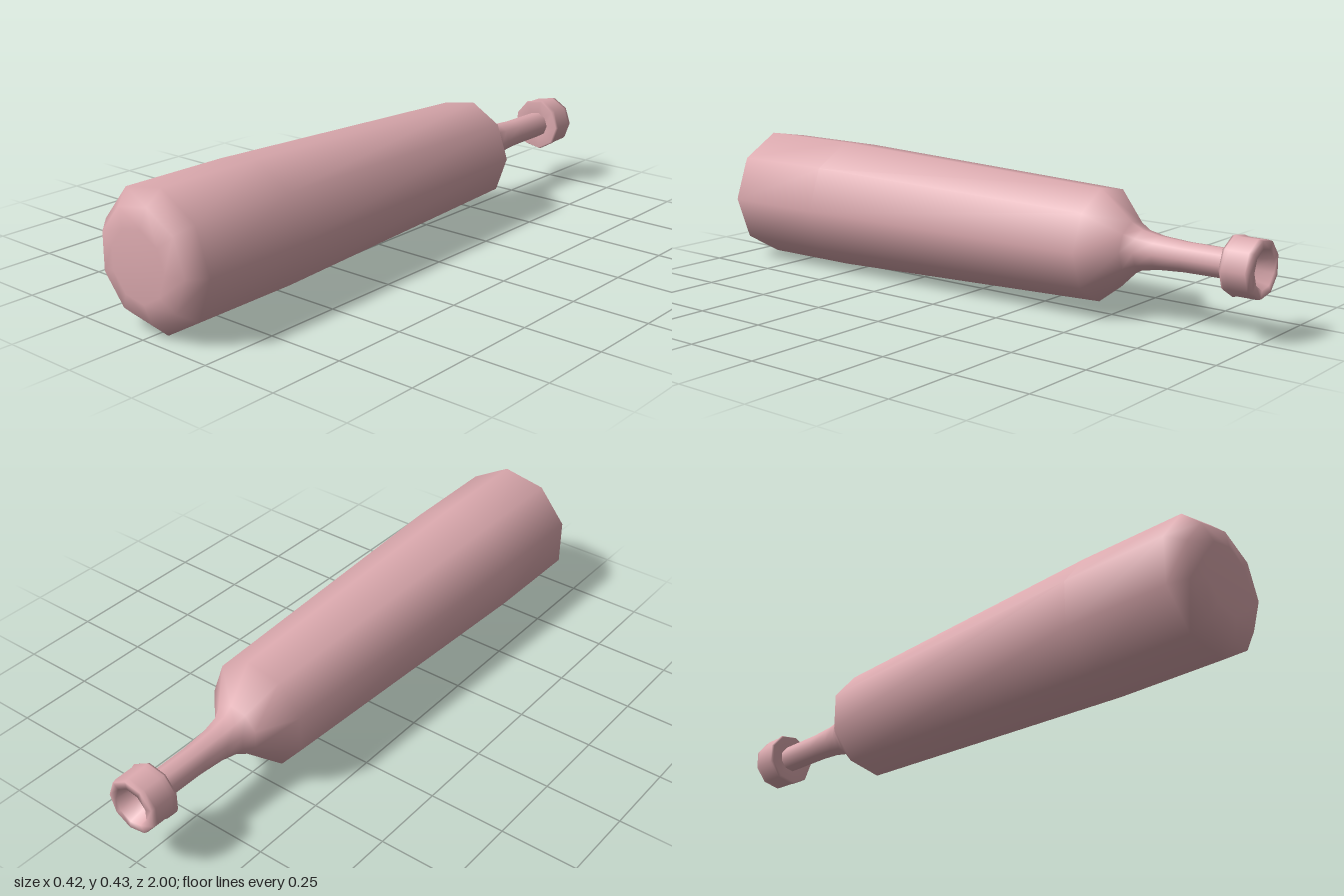
import * as THREE from 'three';

const SIDES = 9;

// Revolves [radius, z] pairs, listed front to back, around the z axis.
function turned(name, profile, material) {
  const points = profile.map(([r, z]) => new THREE.Vector2(r, -z));
  const geometry = new THREE.LatheGeometry(points, SIDES, Math.PI / 2);
  geometry.rotateX(-Math.PI / 2);
  const mesh = new THREE.Mesh(geometry, material);
  mesh.name = name;
  return mesh;
}

export function createModel() {
  const group = new THREE.Group();
  group.name = 'bottle';
  const pink = new THREE.MeshStandardMaterial({ color: 0xdba9ae });
  pink.name = 'dusty pink';

  // Closed base, tapering body, shoulder and slim neck
  group.add(turned('bodyAndNeck', [
    [0, 1], [0.11, 1], [0.172, 0.984], [0.2185, 0.935], [0.217, 0.58],
    [0.177, -0.47], [0.083, -0.57], [0.063, -0.605], [0.052, -0.66],
    [0.046, -0.75], [0.045, -0.91],
  ], pink));

  // Collar round the mouth, with a shallow hollow at the back
  group.add(turned('mouthCollar', [
    [0.044, -0.907], [0.087, -0.903], [0.092, -0.912], [0.088, -0.925],
    [0.088, -0.985], [0.085, -1], [0.06, -1], [0.045, -0.94], [0, -0.93],
  ], pink));

  // Centre the nine-sided section and rest it on the ground
  group.children.forEach((part) => part.position.set(-0.0065, 0.215, 0));
  return group;
}
